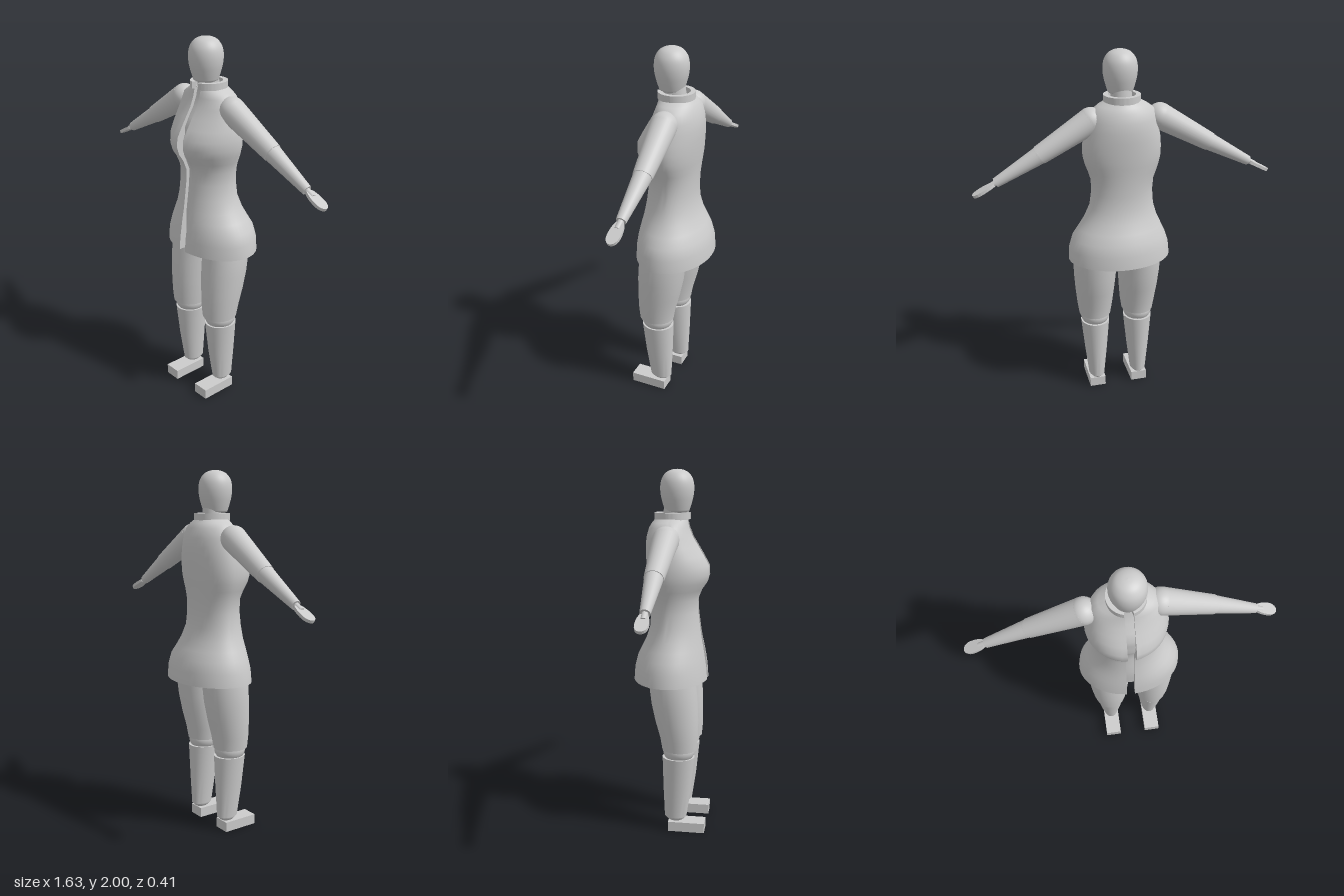
import * as THREE from 'three';
import { toCreasedNormals } from 'three/addons/utils/BufferGeometryUtils.js';

const material = new THREE.MeshStandardMaterial({ color: 0xcccccc });
const thin = new THREE.MeshStandardMaterial({ color: 0xcccccc, side: THREE.DoubleSide });
const V = (x, y, z) => new THREE.Vector3(x, y, z);

function add(parent, name, geometry, mat = material) {
  const mesh = new THREE.Mesh(geometry, mat);
  mesh.name = name;
  parent.add(mesh);
  return mesh;
}

// Skin over rings of points that run counter-clockwise, bottom ring first
function loft(rings, closed = true) {
  const n = rings[0].length, pos = [], idx = [];
  rings.forEach(r => r.forEach(p => pos.push(p.x, p.y, p.z)));
  for (let i = 0; i < rings.length - 1; i++) {
    for (let j = 0; j < (closed ? n : n - 1); j++) {
      const k = (j + 1) % n, a = i * n, b = a + n;
      idx.push(a + j, a + k, b + k, a + j, b + k, b + j);
    }
  }
  if (closed) {
    for (const [r, top] of [[0, false], [rings.length - 1, true]]) {
      const c = rings[r].reduce((s, p) => s.add(p), V(0, 0, 0)).divideScalar(n);
      const ci = pos.length / 3;
      pos.push(c.x, c.y, c.z);
      for (let j = 0; j < n; j++) {
        const a = r * n + j, b = r * n + (j + 1) % n;
        if (top) idx.push(ci, a, b); else idx.push(ci, b, a);
      }
    }
  }
  const g = new THREE.BufferGeometry();
  g.setAttribute('position', new THREE.Float32BufferAttribute(pos, 3));
  g.setIndex(idx);
  return toCreasedNormals(g, 0.75);
}

// Coat outline: height, right edge, left edge, front depth, back depth
const coatRows = [
  [0.87, -0.245, 0.32, 0.2, 0.21], [0.94, -0.238, 0.316, 0.195, 0.205],
  [1.0, -0.218, 0.298, 0.186, 0.19], [1.05, -0.195, 0.262, 0.178, 0.165],
  [1.1, -0.172, 0.23, 0.168, 0.14], [1.17, -0.152, 0.198, 0.158, 0.118],
  [1.25, -0.146, 0.187, 0.148, 0.113], [1.32, -0.152, 0.188, 0.146, 0.116],
  [1.37, -0.17, 0.203, 0.166, 0.12], [1.41, -0.182, 0.218, 0.194, 0.125],
  [1.45, -0.19, 0.228, 0.206, 0.13], [1.5, -0.19, 0.23, 0.204, 0.134],
  [1.55, -0.186, 0.224, 0.176, 0.138], [1.6, -0.176, 0.212, 0.146, 0.139],
  [1.65, -0.165, 0.2, 0.115, 0.135], [1.7, -0.15, 0.18, 0.095, 0.12],
  [1.725, -0.115, 0.148, 0.09, 0.105], [1.745, -0.078, 0.11, 0.085, 0.088],
];

function torsoPoint(row, a) {
  const [y, xl, xr, zf, zb] = row;
  const c = Math.cos(a), s = Math.sin(a);
  return V((xl + xr) / 2 + (xr - xl) / 2 * s, y, c * (c > 0 ? zf : zb));
}

const SEG = 48;
function coatRing(row) {
  const cx = (row[1] + row[2]) / 2, rx = (row[2] - row[1]) / 2;
  const a0 = Math.asin((0.045 - cx) / rx);
  const a1 = Math.PI * 2 + Math.asin((0 - cx) / rx);
  const ring = [];
  for (let i = 0; i <= SEG; i++) ring.push(torsoPoint(row, a0 + (a1 - a0) * i / SEG));
  // turned-in edges of the front opening
  ring.unshift(ring[0].clone().setZ(ring[0].z - 0.045));
  ring.push(ring[SEG + 1].clone().setZ(ring[SEG + 1].z - 0.045));
  return ring;
}

function bodyRing([y, xl, xr, zf, zb]) {
  const row = [y, xl + 0.018, xr - 0.018, Math.min(zf - 0.02, 0.152), zb - 0.015];
  return Array.from({ length: SEG }, (_, i) => torsoPoint(row, i / SEG * Math.PI * 2));
}

// Limb section rows: x, y, z, half width, half depth
function limb(rows, n = 32) {
  return loft(rows.map(([x, y, z, rx, rz]) => Array.from({ length: n }, (_, i) => {
    const a = i / n * Math.PI * 2;
    return V(x + rx * Math.sin(a), y, z + rz * Math.cos(a));
  })));
}

function rod(parent, name, a, b, ra, rb) {
  const d = b.clone().sub(a);
  const m = add(parent, name, new THREE.CylinderGeometry(rb, ra, d.length(), 28));
  m.position.copy(a).addScaledVector(d, 0.5);
  m.quaternion.setFromUnitVectors(V(0, 1, 0), d.normalize());
}

function ball(parent, name, p, r, sx = 1, sy = 1, sz = 1) {
  const m = add(parent, name, new THREE.SphereGeometry(r, 28, 18));
  m.position.copy(p);
  m.scale.set(sx, sy, sz);
}

function makeArm(s) {
  const g = new THREE.Group();
  g.name = s > 0 ? 'leftArm' : 'rightArm';
  const shoulder = V(s * 0.185, 1.648, -0.003), elbow = V(s * 0.46, 1.49, -0.018);
  const wrist = V(s * 0.69, 1.363, -0.02);
  ball(g, 'shoulder', shoulder, 0.07);
  rod(g, 'upperArm', shoulder, elbow, 0.07, 0.05);
  ball(g, 'elbow', elbow, 0.047);
  rod(g, 'forearm', elbow, wrist, 0.047, 0.026);
  rod(g, 'wrist', wrist, V(s * 0.73, 1.342, -0.02), 0.016, 0.014);
  // flat paddle hand
  const shape = new THREE.Shape();
  shape.moveTo(-0.06, -0.018);
  shape.quadraticCurveTo(-0.03, -0.034, 0.02, -0.033);
  shape.bezierCurveTo(0.08, -0.03, 0.08, 0.03, 0.02, 0.033);
  shape.quadraticCurveTo(-0.03, 0.034, -0.06, 0.018);
  const geo = new THREE.ExtrudeGeometry(shape, { depth: 0.016, bevelEnabled: false, curveSegments: 10 });
  geo.translate(0, 0, -0.008).rotateX(-Math.PI / 2);
  if (s < 0) geo.rotateY(Math.PI);
  const hand = add(g, 'hand', geo);
  hand.position.set(s * 0.752, 1.33, -0.022);
  hand.rotation.z = -s * 0.48;
  return g;
}

function makeLeg(s) {
  const g = new THREE.Group();
  g.name = s > 0 ? 'leftLeg' : 'rightLeg';
  const x = o => 0.044 + s * o;
  add(g, 'thigh', limb([
    [x(0.126), 0.485, 0.058, 0.09, 0.097], [x(0.126), 0.55, 0.055, 0.1, 0.105],
    [x(0.127), 0.65, 0.042, 0.11, 0.119], [x(0.127), 0.75, 0.03, 0.118, 0.128],
    [x(0.127), 0.87, 0.018, 0.122, 0.13], [x(0.118), 0.96, 0.01, 0.118, 0.13],
  ]));
  ball(g, 'knee', V(x(0.126), 0.475, 0.054), 0.083, 1, 0.85, 1.07);
  add(g, 'shin', limb([
    [x(0.126), 0.08, 0.036, 0.045, 0.062], [x(0.126), 0.25, 0.045, 0.064, 0.078],
    [x(0.126), 0.44, 0.052, 0.082, 0.09],
  ]));
  ball(g, 'ankle', V(x(0.126), 0.085, 0.036), 0.04, 1, 0.9, 1.4);
  const foot = add(g, 'foot', new THREE.BoxGeometry(0.092, 0.056, 0.205));
  foot.position.set(x(0.126), 0.028, 0.1);
  return g;
}

export function createModel() {
  const model = new THREE.Group();
  model.name = 'figure';

  // Coat, open down the front, over a closed body
  add(model, 'coat', loft(coatRows.map(coatRing), false), thin);
  add(model, 'body', loft(coatRows.slice(1).map(bodyRing)));

  // Upright collar with a front gap
  const gap = 0.24, collarShape = new THREE.Shape();
  collarShape.absarc(0, 0, 0.097, -Math.PI / 2 + gap, Math.PI * 1.5 - gap, false);
  collarShape.absarc(0, 0, 0.072, Math.PI * 1.5 - gap, -Math.PI / 2 + gap, true);
  const collarGeo = new THREE.ExtrudeGeometry(collarShape, { depth: 0.036, bevelEnabled: false, curveSegments: 40 });
  collarGeo.rotateX(-Math.PI / 2);
  add(model, 'collar', toCreasedNormals(collarGeo, 0.6)).position.set(0.018, 1.74, 0.003);

  // Neck and head
  rod(model, 'neck', V(0.02, 1.7, 0.005), V(0.02, 1.81, 0.012), 0.057, 0.055);
  const profile = new THREE.SplineCurve([
    [0.064, 1.783], [0.076, 1.82], [0.087, 1.865], [0.09, 1.91],
    [0.082, 1.95], [0.06, 1.981], [0.03, 1.996], [0, 2],
  ].map(p => new THREE.Vector2(...p))).getPoints(28);
  profile.forEach(p => { p.x = Math.max(p.x, 0); });
  profile.unshift(new THREE.Vector2(0, 1.775), new THREE.Vector2(0.05, 1.776));
  add(model, 'head', new THREE.LatheGeometry(profile, 36)).position.set(0.021, 0, 0.027);

  for (const s of [1, -1]) model.add(makeArm(s), makeLeg(s));
  return model;
}
